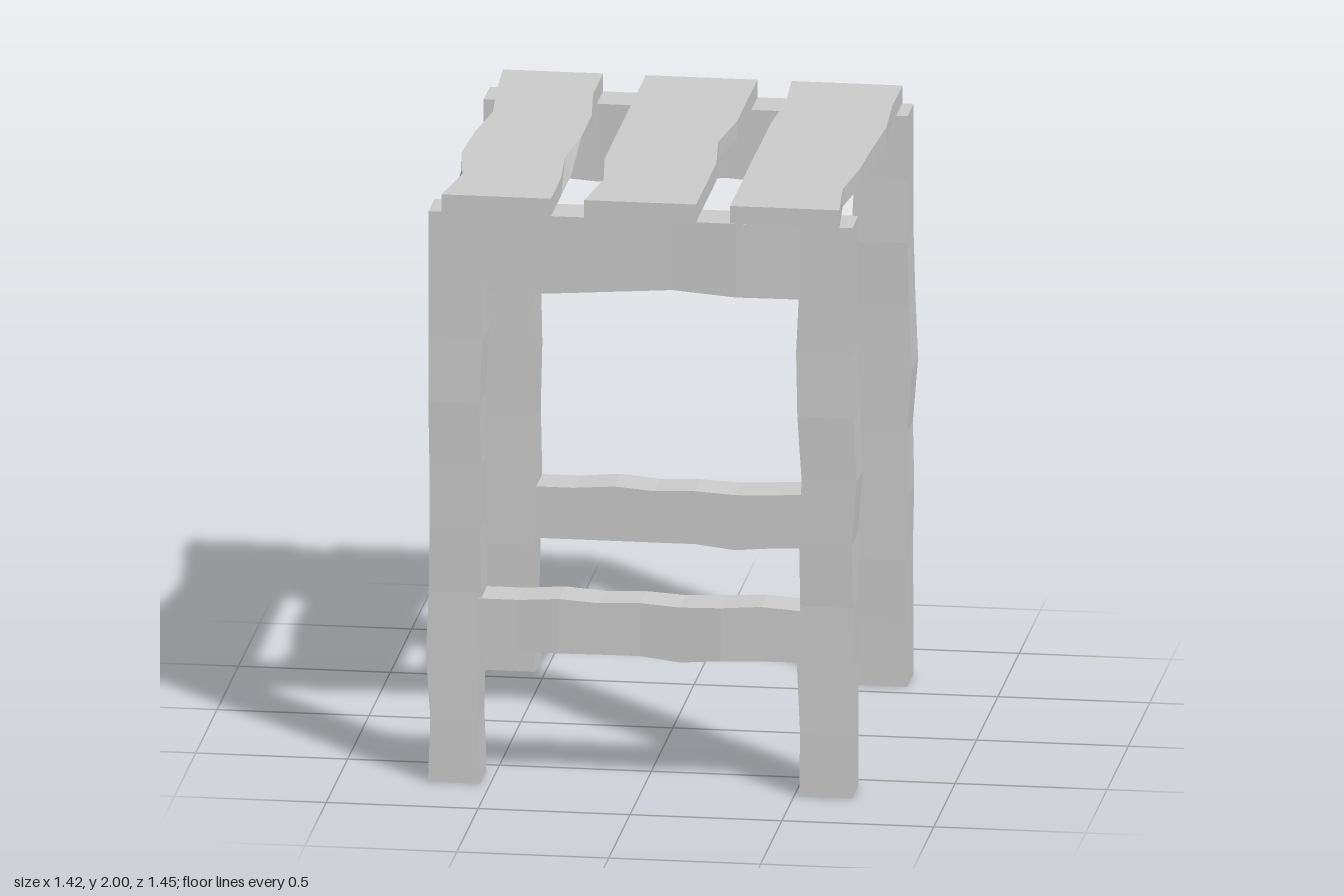
import * as THREE from 'three';

const material = new THREE.MeshStandardMaterial({ color: 0xcccccc, flatShading: true });

// A hand-hewn beam running along one axis (0 = x, 1 = y, 2 = z).
// sides[k] = [low, high] on each axis; a side is a number or a list of values
// at even stations along the beam, and a value may be a [bottom, top] pair.
function beam(name, axis, sides) {
  const lists = sides.flat().filter(Array.isArray);
  const count = Math.max(...lists.map((l) => l.length)) - 1;
  const segments = [1, 1, 1];
  segments[axis] = count;
  const geometry = new THREE.BoxGeometry(1, 1, 1, ...segments);
  const pos = geometry.attributes.position;
  for (let i = 0; i < pos.count; i++) {
    const p = [pos.getX(i), pos.getY(i), pos.getZ(i)];
    const t = p[axis] + 0.5;
    const q = p.map((c, k) => {
      const [low, high] = sides[k];
      if (k === axis) return low + (high - low) * t;
      let value = c < 0 ? low : high;
      if (Array.isArray(value)) value = value[Math.round(t * count)];
      return Array.isArray(value) ? value[p[1] < 0 ? 0 : 1] : value;
    });
    pos.setXYZ(i, ...q);
  }
  geometry.computeVertexNormals();
  const mesh = new THREE.Mesh(geometry, material);
  mesh.name = name;
  return mesh;
}

// Inner and outer z sides, mirrored for the back frame
function depth(inner, outer, sign) {
  if (sign > 0) return [inner, outer];
  const flip = (s) => (Array.isArray(s) ? s.map((v) => -v) : -s);
  return [flip(outer), flip(inner)];
}

// Two legs joined by a top rail and a lower stretcher
function frame(name, sign) {
  const group = new THREE.Group();
  group.name = name;
  const legInner = [0.57, 0.57, 0.568, 0.572, 0.575, 0.575, 0.575, 0.57, 0.575, 0.575];
  const legOuter = [0.717, 0.717, 0.715, 0.712, 0.717, 0.717, 0.724, 0.717, 0.717, 0.717];
  const legDepth = depth(legInner, legOuter, sign);
  group.add(
    beam('rightLeg', 1, [[
      [-0.705, -0.697, -0.712, -0.703, -0.7, -0.7, -0.703, -0.703, -0.703, -0.703],
      [-0.532, -0.54, -0.535, -0.53, -0.535, -0.53, -0.535, -0.525, -0.532, -0.532],
    ], [0, 1.94], legDepth]),
    beam('leftLeg', 1, [[
      [0.517, 0.52, 0.51, 0.52, 0.517, 0.525, 0.512, 0.507, 0.517, 0.517],
      [0.692, 0.692, 0.69, 0.695, 0.69, 0.707, 0.697, 0.692, 0.692, 0.692],
    ], [0, 1.94], legDepth]),
    beam('topRail', 0, [[-0.535, 0.52],
      [[1.69, 1.675, 1.69, 1.705, 1.69, 1.69], 1.94],
      depth([0.575, 0.575, 0.57, 0.575, 0.575, 0.575], [0.717, 0.717, 0.717, 0.717, 0.722, 0.717], sign)]),
    beam('stretcher', 0, [[-0.54, 0.525], [
      [0.455, 0.455, 0.455, 0.455, 0.455, 0.44, 0.452, 0.455, 0.455],
      [0.63, 0.63, 0.64, 0.63, 0.635, 0.627, 0.632, 0.64, 0.63],
    ], depth(0.575, [0.717, 0.717, 0.722, 0.717, 0.715, 0.72, 0.727, 0.72, 0.717], sign)]),
  );
  return group;
}

export function createModel() {
  const model = new THREE.Group();
  model.name = 'slattedStool';
  model.add(frame('frontFrame', 1), frame('backFrame', -1));

  // Seat slats: left and right edges from back to front
  const slats = [
    [[-0.66, -0.648, [-0.64, -0.625], -0.652, -0.662, [-0.65, -0.625], -0.66],
      [-0.33, -0.33, -0.3, -0.3, [-0.3, -0.32], -0.3, -0.3]],
    [[-0.19, [-0.205, -0.19], -0.19, -0.19, -0.19, [-0.178, -0.16], -0.19],
      [0.178, 0.178, 0.178, 0.15, 0.178, 0.178, 0.178]],
    [[0.29, [0.29, 0.305], 0.29, 0.29, [0.27, 0.288], 0.29, 0.29],
      [0.655, 0.655, 0.67, 0.658, 0.65, 0.627, 0.65]],
  ];
  const seat = new THREE.Group();
  seat.name = 'seat';
  slats.forEach((edges, i) => seat.add(beam('slat' + (i + 1), 2, [edges, [1.94, 2], [-0.72, 0.72]])));
  model.add(seat);
  return model;
}
